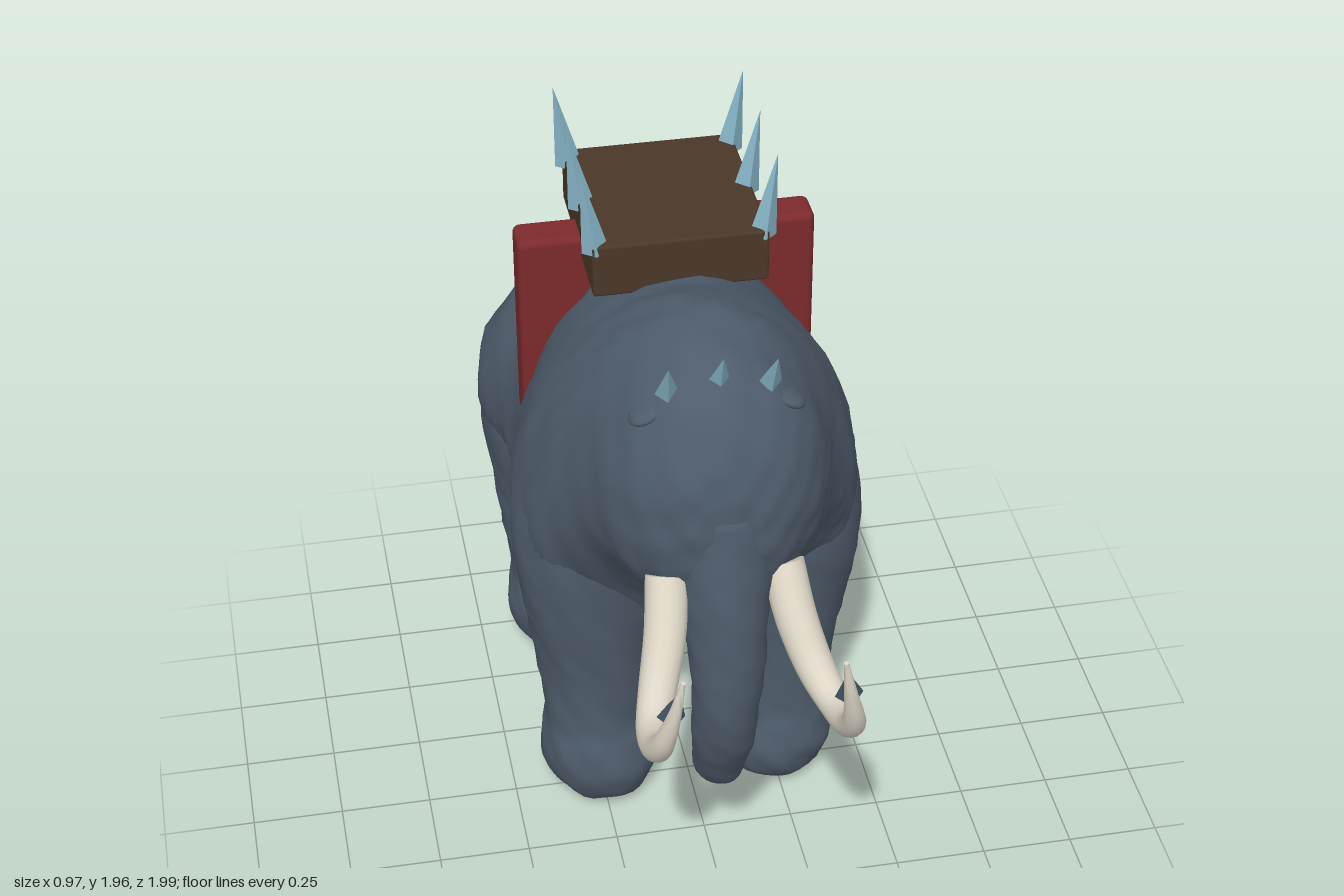
import * as THREE from 'three';
import { mergeVertices, toCreasedNormals } from 'three/addons/utils/BufferGeometryUtils.js';
import { RoundedBoxGeometry } from 'three/addons/geometries/RoundedBoxGeometry.js';

const mat = (name, color, extra = {}) => {
  const m = new THREE.MeshStandardMaterial({ color, ...extra });
  m.name = name;
  return m;
};

// Closed surface through rings; point(t, angle) runs counter-clockwise about the axis.
function loft(point, rows, cols, startPole, endPole) {
  const pos = [], index = [];
  for (let i = 0; i <= rows; i++) {
    for (let j = 0; j < cols; j++) pos.push(...point(i / rows, (j / cols) * Math.PI * 2).toArray());
  }
  const start = pos.length / 3, end = start + 1;
  pos.push(...startPole.toArray(), ...endPole.toArray());
  for (let j = 0; j < cols; j++) {
    const k = (j + 1) % cols;
    for (let i = 0; i < rows; i++) {
      const a = i * cols + j, b = i * cols + k;
      index.push(a, b, a + cols, b, b + cols, a + cols);
    }
    index.push(start, k, j, end, rows * cols + j, rows * cols + k);
  }
  const g = new THREE.BufferGeometry();
  g.setAttribute('position', new THREE.Float32BufferAttribute(pos, 3));
  g.setIndex(index);
  g.computeVertexNormals();
  return g;
}

// Smooth interpolation between rows of numbers, t from 0 to 1.
function interpolate(table) {
  const f = new THREE.CubicInterpolant(table.map((_, i) => i), table.flat(), table[0].length);
  return (t) => Array.from(f.evaluate(t * (table.length - 1)));
}

// Slightly lumpy hide.
function lumpy(g, amount = 0.005) {
  const p = g.attributes.position, n = g.attributes.normal;
  for (let i = 0; i < p.count; i++) {
    const x = p.getX(i), y = p.getY(i), z = p.getZ(i);
    const d = amount * (Math.sin(31 * x + 17 * y) * Math.sin(29 * z + 11 * x) + 0.6 * Math.sin(53 * y + 37 * z) * Math.sin(47 * x));
    p.setXYZ(i, x + n.getX(i) * d, Math.max(0, y + n.getY(i) * d), z + n.getZ(i) * d);
  }
  g.computeVertexNormals();
  return g;
}

// Rows: z, top, bottom, height of widest point, half width.
const bodyRows = [
  [-0.99, 1.0, 0.8, 0.92, 0.1], [-0.97, 1.08, 0.74, 0.92, 0.24], [-0.9, 1.22, 0.66, 0.92, 0.38],
  [-0.8, 1.33, 0.6, 0.92, 0.455], [-0.68, 1.39, 0.58, 0.92, 0.48], [-0.52, 1.43, 0.61, 0.92, 0.44],
  [-0.4, 1.5, 0.57, 0.92, 0.42], [-0.3, 1.58, 0.6, 0.92, 0.42], [-0.2, 1.61, 0.6, 0.92, 0.45],
  [-0.05, 1.64, 0.58, 0.94, 0.48], [0.05, 1.68, 0.6, 0.95, 0.46], [0.13, 1.7, 0.68, 1.0, 0.43],
  [0.2, 1.71, 0.8, 1.08, 0.385], [0.3, 1.7, 0.92, 1.2, 0.33], [0.4, 1.67, 0.95, 1.25, 0.29],
  [0.48, 1.61, 1.0, 1.27, 0.24], [0.55, 1.5, 1.08, 1.28, 0.16], [0.58, 1.38, 1.18, 1.28, 0.08],
];

// Rows: y, centre x, centre z, radius x, radius z.
const frontLegRows = [
  [0.005, 0.25, 0, 0.07, 0.07], [0.04, 0.25, -0.005, 0.13, 0.135], [0.13, 0.25, -0.01, 0.168, 0.173],
  [0.22, 0.255, -0.01, 0.16, 0.163], [0.3, 0.26, -0.01, 0.15, 0.15], [0.5, 0.26, -0.015, 0.165, 0.165],
  [0.7, 0.26, -0.01, 0.2, 0.185], [0.9, 0.25, 0, 0.23, 0.2], [1.1, 0.22, 0.01, 0.23, 0.18], [1.25, 0.2, 0.01, 0.16, 0.13],
];
const rearLegRows = [
  [0.005, 0.25, -0.66, 0.07, 0.07], [0.04, 0.25, -0.66, 0.13, 0.135], [0.13, 0.25, -0.665, 0.168, 0.175],
  [0.22, 0.255, -0.67, 0.16, 0.165], [0.3, 0.26, -0.675, 0.15, 0.155], [0.5, 0.26, -0.68, 0.17, 0.18],
  [0.65, 0.25, -0.69, 0.2, 0.21], [0.85, 0.24, -0.69, 0.23, 0.255], [1.1, 0.2, -0.68, 0.22, 0.23], [1.22, 0.18, -0.68, 0.16, 0.17],
];

function bodyGeometry() {
  const at = interpolate(bodyRows);
  return lumpy(loft((t, a) => {
    const [z, top, bottom, mid, w] = at(t), s = Math.sin(a);
    return new THREE.Vector3(Math.cos(a) * w, mid + s * (s > 0 ? top - mid : mid - bottom), z);
  }, 80, 64, new THREE.Vector3(0, 0.91, -0.995), new THREE.Vector3(0, 1.28, 0.585)));
}

function legGeometry(rows, side) {
  const at = interpolate(rows), pole = (r) => new THREE.Vector3(side * r[1], r[0], r[2]);
  return lumpy(loft((t, a) => {
    const [y, x, z, rx, rz] = at(t);
    return new THREE.Vector3(side * x + Math.cos(a) * rx, y, z - Math.sin(a) * rz);
  }, 40, 32, pole(rows[0]), pole(rows[rows.length - 1])));
}

// Tapered tube, rows: x, y, z, radius.
function taperedTube(rows, steps, sides) {
  const curve = new THREE.CatmullRomCurve3(rows.map((r) => new THREE.Vector3(r[0], r[1], r[2])));
  const radius = interpolate(rows.map((r) => [r[3]]));
  const frames = curve.computeFrenetFrames(steps, false);
  const u = (i) => curve.getUtoTmapping(i / steps);
  return loft((t, a) => {
    const i = Math.round(t * steps), r = radius(u(i))[0];
    return curve.getPointAt(t).addScaledVector(frames.normals[i], Math.cos(a) * r)
      .addScaledVector(frames.binormals[i], Math.sin(a) * r);
  }, steps, sides, curve.getPointAt(0), curve.getPointAt(1));
}

// Four-sided spike from base to tip.
function spikeMesh(base, tip, radius, material, name) {
  const b = new THREE.Vector3(...base), dir = new THREE.Vector3(...tip).sub(b), h = dir.length();
  const m = new THREE.Mesh(new THREE.ConeGeometry(radius, h, 4).toNonIndexed().translate(0, h / 2, 0), material);
  m.geometry.computeVertexNormals();
  m.position.copy(b);
  m.quaternion.setFromUnitVectors(new THREE.Vector3(0, 1, 0), dir.normalize());
  m.name = name;
  return m;
}

export function createModel() {
  const root = new THREE.Group();
  root.name = 'armouredBeast';
  const hide = mat('slateHide', 0x4e5c6b);
  const ivory = mat('ivory', 0xddd6c6);
  const wood = mat('darkWood', 0x4a3828);
  const cloth = mat('redCloth', 0x7c2a2c);
  const ice = mat('iceBlue', 0x86b4c6);
  const steel = mat('darkSteel', 0x46566a);
  const add = (name, geometry, material, parent = root) => {
    const m = new THREE.Mesh(geometry, material);
    m.name = name;
    parent.add(m);
    return m;
  };

  // Body, head and trunk
  add('bodyAndHead', bodyGeometry(), hide);
  add('trunk', lumpy(taperedTube([
    [0, 1.3, 0.45, 0.14], [0, 1.1, 0.495, 0.125], [0, 0.92, 0.53, 0.105], [0, 0.75, 0.54, 0.092],
    [0, 0.6, 0.515, 0.085], [0, 0.48, 0.465, 0.075], [0, 0.41, 0.438, 0.066], [0, 0.375, 0.427, 0.045], [0, 0.36, 0.423, 0.015],
  ], 40, 24), 0.003), hide);
  const tail = add('tail', new THREE.ConeGeometry(0.035, 0.2, 10), hide);
  tail.position.set(0, 0.9, -0.97);
  tail.rotation.x = Math.PI + 0.15;

  for (const side of [1, -1]) {
    const label = side > 0 ? 'left' : 'right';
    add(label + 'FrontLeg', legGeometry(frontLegRows, side), hide);
    add(label + 'RearLeg', legGeometry(rearLegRows, side), hide);

    // Small ridge above the temple
    const ridge = add(label + 'BrowRidge', new THREE.SphereGeometry(1, 16, 10), hide);
    ridge.scale.set(0.05, 0.018, 0.05);
    ridge.position.set(side * 0.18, 1.565, 0.39);
    ridge.rotation.z = -side * 0.5;

    // Tusk with a steel barb near the tip
    const tusk = taperedTube([
      [0.15, 1.13, 0.505, 0.056], [0.17, 1.01, 0.585, 0.055], [0.205, 0.905, 0.67, 0.05], [0.235, 0.86, 0.76, 0.043],
      [0.245, 0.88, 0.86, 0.038], [0.24, 0.955, 0.935, 0.03], [0.22, 1.07, 0.975, 0.018], [0.2, 1.19, 0.99, 0.006],
    ].map(([x, ...r]) => [side * x, ...r]), 40, 16);
    add(label + 'Tusk', toCreasedNormals(mergeVertices(tusk), 0.9), ivory);
    root.add(spikeMesh([side * 0.222, 1.05, 0.945], [side * 0.207, 1.155, 0.985], 0.036, steel, label + 'TuskBarb'));

    // Platform spikes leaning outward
    for (const z of [-0.11, -0.33, -0.55]) {
      root.add(spikeMesh([side * 0.22, 1.725, z], [side * 0.256, 1.96, z], 0.036, ice, label + 'PlatformSpike'));
    }
  }

  // Saddle strap and platform
  add('saddleStrap', new RoundedBoxGeometry(0.8, 0.66, 0.11, 3, 0.02), cloth).position.set(0, 1.33, -0.333);
  add('platform', new RoundedBoxGeometry(0.464, 0.15, 0.504, 2, 0.008), wood).position.set(0, 1.675, -0.332);

  // Crown spikes on the forehead
  for (const x of [-0.13, 0, 0.13]) {
    const y = x ? 1.625 : 1.64;
    root.add(spikeMesh([x, y, 0.405], [x * 1.05, y + 0.11, 0.468], 0.03, ice, 'crownSpike'));
  }
  return root;
}
